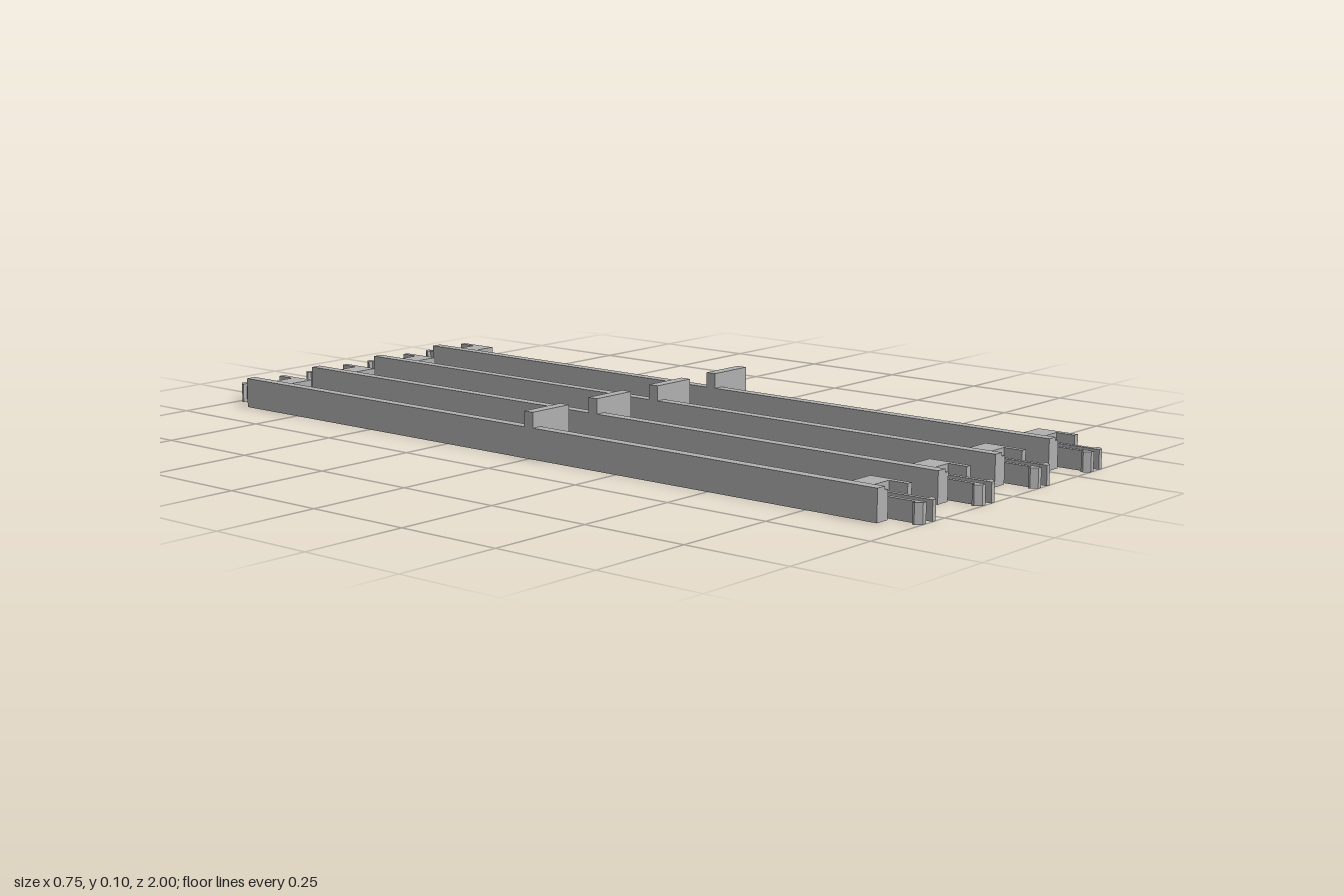
import * as THREE from 'three';

const plastic = new THREE.MeshStandardMaterial({ color: 0xb0b0b0 });
plastic.name = 'grey plastic';

const WIDTH = 0.117, SPACING = 0.2097;

function box(name, x0, x1, y0, y1, z0, z1) {
  const mesh = new THREE.Mesh(new THREE.BoxGeometry(x1 - x0, y1 - y0, z1 - z0), plastic);
  mesh.position.set((x0 + x1) / 2, (y0 + y1) / 2, (z0 + z1) / 2);
  mesh.name = name;
  return mesh;
}

// Extrudes a plan outline upwards; four-number points are curves (control, end)
function plan(name, points, height, dir) {
  const shape = new THREE.Shape();
  points.forEach(([a, b, c, d], i) => {
    if (i === 0) shape.moveTo(a, -dir * b);
    else if (c === undefined) shape.lineTo(a, -dir * b);
    else shape.quadraticCurveTo(a, -dir * b, c, -dir * d);
  });
  const geo = new THREE.ExtrudeGeometry(shape, { depth: height, bevelEnabled: false, curveSegments: 6 });
  geo.rotateX(-Math.PI / 2);
  const mesh = new THREE.Mesh(geo, plastic);
  mesh.name = name;
  return mesh;
}

// Notched block with a two-armed snap clip; dir is +1 front, -1 back
function endConnector(dir) {
  const g = new THREE.Group();
  g.name = dir > 0 ? 'frontConnector' : 'backConnector';

  g.add(plan('notchedBlock', [
    [0.024, 0.825], [WIDTH, 0.825], [WIDTH, 0.925], [0.103, 0.925],
    [0.103, 0.88], [0.036, 0.88], [0.036, 0.925], [0.024, 0.925],
  ], 0.062, dir));

  // Clip arms joined by a rounded root, with barbed tips
  const c = 0.0695, inner = 0.011, outer = 0.022, barb = 0.033;
  g.add(plan('snapClip', [
    [c - outer - 0.008, 0.878], [c - outer, 0.88, c - outer, 0.888],
    [c - outer, 0.982], [c - barb, 0.982], [c - barb, 0.987], [c - outer, 1], [c - inner, 1],
    [c - inner, 0.893], [c - inner, 0.882, c, 0.882], [c + inner, 0.882, c + inner, 0.893],
    [c + inner, 1], [c + outer, 1], [c + barb, 0.987], [c + barb, 0.982], [c + outer, 0.982],
    [c + outer, 0.888], [c + outer, 0.88, c + outer + 0.008, 0.878],
  ], 0.044, dir));
  return g;
}

function createBar() {
  const g = new THREE.Group();
  g.add(box('rail', 0, 0.025, 0, 0.07, -0.925, 0.925));
  g.add(box('centrePlate', 0, WIDTH, 0, 0.105, -0.013, 0.013));
  g.add(endConnector(1), endConnector(-1));
  return g;
}

export function createModel() {
  const model = new THREE.Group();
  model.name = 'clipBars';
  for (let i = 0; i < 4; i++) {
    const bar = createBar();
    bar.name = 'bar' + (i + 1);
    bar.position.x = (i - 1.5) * SPACING - WIDTH / 2;
    model.add(bar);
  }
  return model;
}
